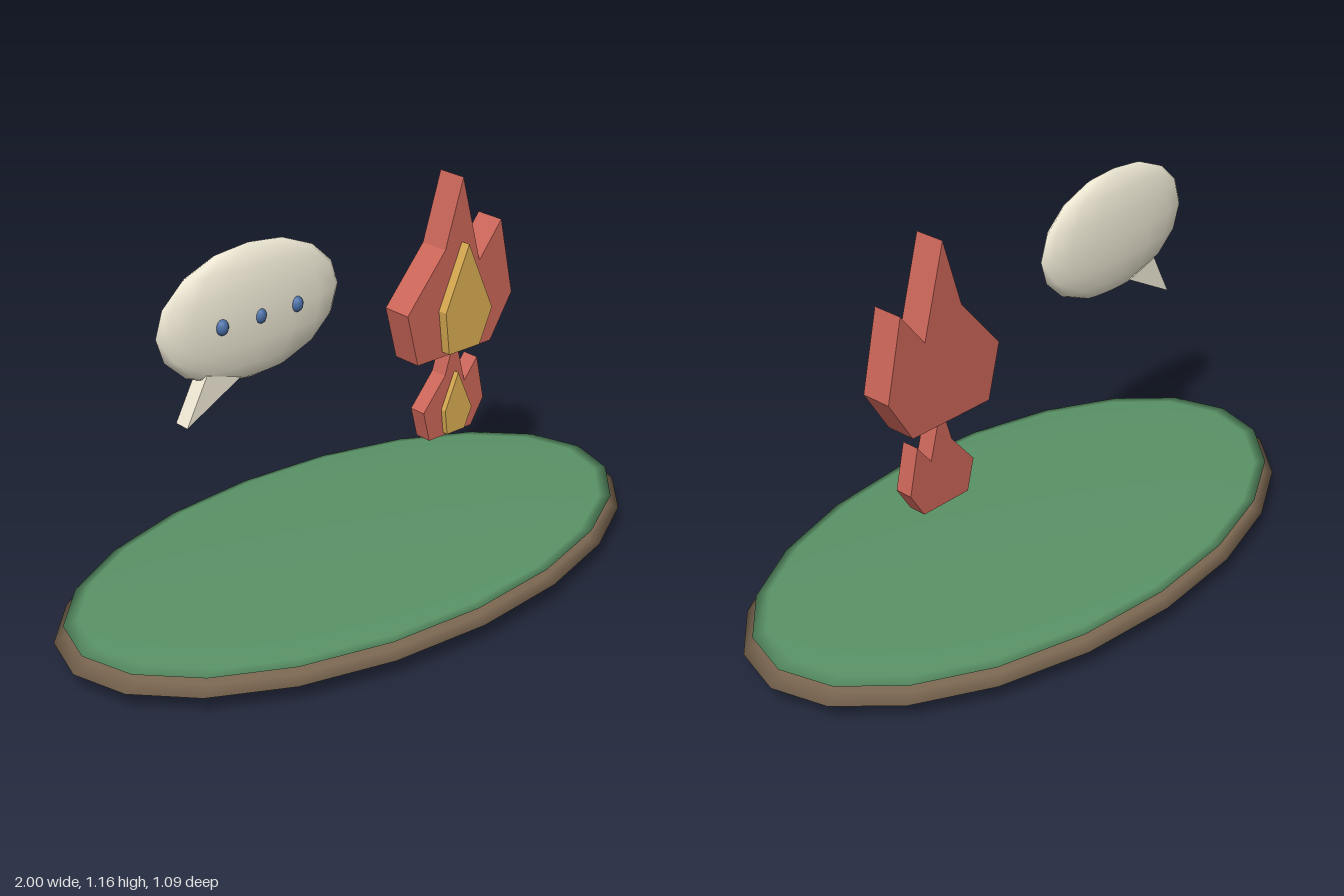
import * as THREE from 'three';

const mat = (color) => new THREE.MeshStandardMaterial({ color });
const soil = mat(0x7a6650), grass = mat(0x5a9367), cream = mat(0xefe9d5);
const blue = mat(0x4a6fa5), red = mat(0xcc6659), gold = mat(0xd9ab52);

// Stretched sphere given by centre and radii
function ellipsoid(name, material, center, radii, around, rings) {
  const mesh = new THREE.Mesh(new THREE.SphereGeometry(1, around, rings), material);
  mesh.name = name;
  mesh.position.set(...center);
  mesh.scale.set(...radii);
  return mesh;
}

// Flat outline pushed from z0 to z1
function slab(name, material, points, z0, z1) {
  const shape = new THREE.Shape(points.map(([x, y]) => new THREE.Vector2(x, y)));
  const geometry = new THREE.ExtrudeGeometry(shape, { depth: z1 - z0, bevelEnabled: false });
  geometry.translate(0, 0, z0);
  const mesh = new THREE.Mesh(geometry, material);
  mesh.name = name;
  return mesh;
}

// Flame with a raised core, its base centre at the group's origin
function flame(name, y, scale) {
  const group = new THREE.Group();
  group.name = name;
  group.add(
    slab('flameBody', red, [[0, 0.536], [-0.066, 0.331], [-0.21, 0.164], [-0.168, 0],
      [0.127, 0], [0.212, 0.134], [0.159, 0.374], [0.073, 0.267]], -0.047, 0.047),
    slab('flameCore', gold, [[0, 0.342], [-0.087, 0.149], [-0.071, 0.017],
      [0.052, 0.017], [0.1, 0.123]], 0.047, 0.077)
  );
  group.position.set(0.368, y, 0);
  group.scale.setScalar(scale);
  return group;
}

export function createModel() {
  const model = new THREE.Group();
  model.name = 'islandScene';

  // Island
  model.add(ellipsoid('soilBase', soil, [0, 0.06, 0], [1, 0.06, 0.545], 20, 10));
  model.add(ellipsoid('grassTop', grass, [0, 0.105, 0], [0.97, 0.018, 0.522], 20, 10));

  // Speech bubble with tail and three dots
  const bubble = new THREE.Group();
  bubble.name = 'speechBubble';
  bubble.add(ellipsoid('bubbleBody', cream, [-0.375, 0.938, 0], [0.31, 0.193, 0.05], 16, 8));
  bubble.add(slab('bubbleTail', cream, [[-0.543, 0.802], [-0.613, 0.67], [-0.43, 0.768]], -0.025, 0.025));
  for (const x of [-0.502, -0.375, -0.248]) {
    bubble.add(ellipsoid('bubbleDot', blue, [x, 0.936, 0.042], [0.019, 0.023, 0.019], 12, 8));
  }
  model.add(bubble);

  // Large flame over a small one
  model.add(flame('largeFlame', 0.626, 1), flame('smallFlame', 0.356, 0.585));
  return model;
}
